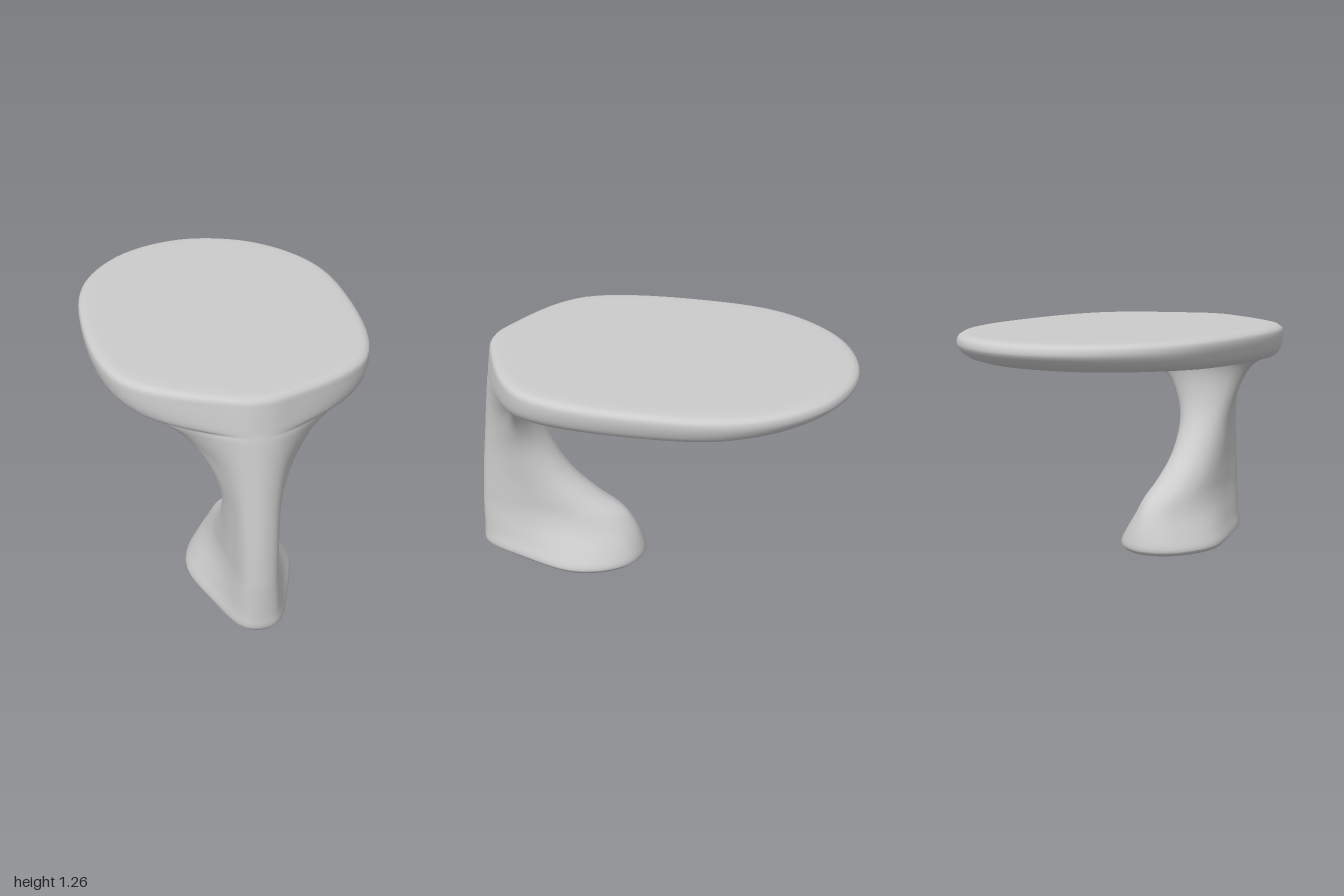
import * as THREE from 'three';

// Levels from foot to table top:
// [y, front z, back z, half width, z of half width, shoulder x, shoulder z, nose x]
const LEVELS = [
  [0.005, 0.98, 0.11, 0.255, 0.45, 0.18, 0.72, 0.075],
  [0.03, 1.0, 0.088, 0.27, 0.45, 0.195, 0.73, 0.09],
  [0.1, 1.0, 0.1, 0.235, 0.46, 0.17, 0.74, 0.085],
  [0.2, 1.0, 0.14, 0.175, 0.5, 0.14, 0.76, 0.08],
  [0.28, 1.0, 0.2, 0.148, 0.54, 0.125, 0.78, 0.075],
  [0.36, 0.995, 0.33, 0.14, 0.6, 0.12, 0.8, 0.075],
  [0.5, 0.985, 0.5, 0.137, 0.69, 0.118, 0.82, 0.075],
  [0.7, 0.965, 0.625, 0.155, 0.74, 0.13, 0.84, 0.08],
  [0.88, 0.945, 0.66, 0.23, 0.73, 0.19, 0.8, 0.095],
  [1.0, 0.93, 0.64, 0.33, 0.68, 0.3, 0.74, 0.11],
  [1.05, 0.922, 0.59, 0.42, 0.63, 0.4, 0.68, 0.12],
  [1.07, 0.918, 0.45, 0.47, 0.5, 0.45, 0.64, 0.12],
  [1.08, 0.916, -0.1, 0.55, 0.2, 0.5, 0.62, 0.125],
  [1.1, 0.913, -0.65, 0.62, -0.05, 0.545, 0.6, 0.13],
  [1.14, 0.908, -0.92, 0.675, -0.18, 0.58, 0.585, 0.13],
  [1.2, 0.9, -1.0, 0.695, -0.2, 0.595, 0.575, 0.13],
  [1.238, 0.893, -0.995, 0.692, -0.2, 0.592, 0.57, 0.13],
  [1.255, 0.88, -0.97, 0.67, -0.2, 0.575, 0.555, 0.125],
];
const AROUND = 96;
const STEPS = 4;

// Closed outline: nose, shoulder, widest point, then a quarter ellipse to the back, mirrored
function outline([y, zf, zb, w, zw, sx, sz, ax]) {
  const half = [[ax, zf - 0.03], [sx, sz], [w, zw]];
  for (const a of [Math.PI / 6, Math.PI / 3]) {
    half.push([w * Math.cos(a), zw + (zb - zw) * Math.sin(a)]);
  }
  const points = [
    [0, zf], ...half, [0, zb],
    ...half.slice().reverse().map(([x, z]) => [-x, z]),
  ].map(([x, z]) => new THREE.Vector3(x, y, z));
  const curve = new THREE.CatmullRomCurve3(points, true, 'centripetal');
  return Array.from({ length: AROUND }, (_, j) => curve.getPoint(j / AROUND));
}

// A ring shrunk towards its middle, for the flat ends
function shrink(ring, scale, y) {
  const zMid = (ring[0].z + ring[AROUND / 2].z) / 2;
  return ring.map((p) => new THREE.Vector3(p.x * scale, y, zMid + (p.z - zMid) * scale));
}

function bodyGeometry() {
  const keys = LEVELS.map(outline);

  // Smooth curves running up through matching points of every level
  const count = (keys.length - 1) * STEPS;
  const columns = keys[0].map((_, j) =>
    new THREE.CatmullRomCurve3(keys.map((ring) => ring[j]), false, 'centripetal').getPoints(count));
  const body = Array.from({ length: count + 1 }, (_, i) => columns.map((c) => c[i]));

  const first = body[0];
  const last = body[count];
  const rings = [
    shrink(first, 0, 0), shrink(first, 0.5, 0), shrink(first, 0.93, 0),
    ...body,
    shrink(last, 0.97, 1.26), shrink(last, 0.9, 1.26), shrink(last, 0.5, 1.26), shrink(last, 0, 1.26),
  ];

  const positions = rings.flat().flatMap((p) => [p.x, p.y, p.z]);
  const index = [];
  for (let i = 0; i < rings.length - 1; i++) {
    for (let j = 0; j < AROUND; j++) {
      const k = (j + 1) % AROUND;
      const a = i * AROUND + j;
      const b = i * AROUND + k;
      index.push(a, b, b + AROUND, a, b + AROUND, a + AROUND);
    }
  }
  const geometry = new THREE.BufferGeometry();
  geometry.setAttribute('position', new THREE.Float32BufferAttribute(positions, 3));
  geometry.setIndex(index);
  geometry.computeVertexNormals();
  return geometry;
}

export function createModel() {
  const group = new THREE.Group();
  group.name = 'cantileverTable';

  // Foot, stem and table top flow into each other as one skin
  const body = new THREE.Mesh(bodyGeometry(), new THREE.MeshStandardMaterial({ color: 0xcccccc }));
  body.name = 'tableBody';
  group.add(body);
  return group;
}
